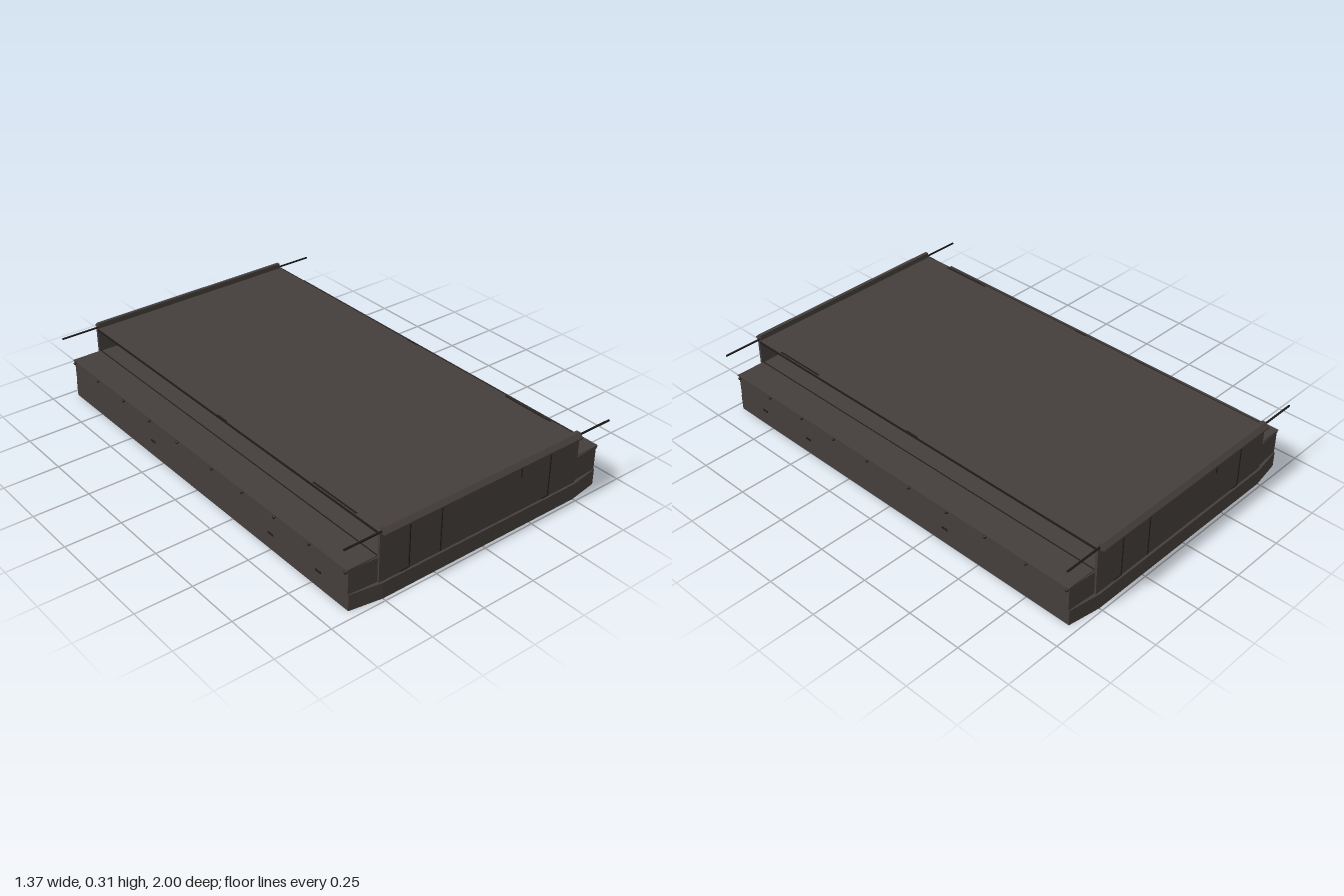
import * as THREE from 'three';

export function createModel() {
  const root = new THREE.Group();
  const body = new THREE.MeshStandardMaterial({ color: 0x443d3b });
  body.name = 'dark brown paint';
  const dark = new THREE.MeshStandardMaterial({ color: 0x1e1b1a });
  dark.name = 'black trim';

  const add = (name, geo, mat, x = 0, y = 0, z = 0) => {
    const m = new THREE.Mesh(geo, mat);
    m.name = name;
    m.position.set(x, y, z);
    root.add(m);
    return m;
  };
  const box = (name, w, h, d, x, y, z, mat = body) =>
    add(name, new THREE.BoxGeometry(w, h, d), mat, x, y, z);

  // Octagonal plan, extruded upward
  const slab = (name, hx, cx, hz, cz, y0, y1) => {
    const s = new THREE.Shape([
      [hx, cz], [cx, hz], [-cx, hz], [-hx, cz],
      [-hx, -cz], [-cx, -hz], [cx, -hz], [hx, -cz],
    ].map(([x, z]) => new THREE.Vector2(x, z)));
    const g = new THREE.ExtrudeGeometry(s, { depth: y1 - y0, bevelEnabled: false });
    g.rotateX(-Math.PI / 2);
    add(name, g, body, 0, y0, 0);
  };

  // Lower hull with its bowed ends, upper hull and side ledges
  slab('lowerHull', 0.643, 0.5, 0.985, 0.962, 0, 0.072);
  slab('upperHull', 0.643, 0.51, 0.967, 0.958, 0.072, 0.18);
  for (const s of [-1, 1]) {
    box('ledgePlate', 0.14, 0.005, 1.92, s * 0.58, 0.182, 0);
    box('ledgeSeam', 0.004, 0.003, 1.92, s * 0.51, 0.185, 0, dark);
  }

  // Thin raised deck, open along both sides
  box('deckPlate', 1.02, 0.007, 1.94, 0, 0.287, 0);
  for (const s of [-1, 1]) {
    box('deckEdge', 0.004, 0.008, 1.93, s * 0.511, 0.287, 0, dark);
    box('deckSlot', 0.007, 0.003, 0.25, s * 0.5, 0.291, 0.705, dark);
    box('deckNotch', 0.006, 0.003, 0.06, s * 0.508, 0.291, 0, dark);
  }

  // Sloped header profile in z, y
  const header = new THREE.Shape([
    [0.966, 0.284], [0.984, 0.284], [1, 0.292], [1, 0.298], [0.982, 0.315], [0.966, 0.315],
  ].map(([z, y]) => new THREE.Vector2(z, y)));
  const headerGeo = new THREE.ExtrudeGeometry(header, { depth: 1.006, bevelEnabled: false });
  headerGeo.rotateY(-Math.PI / 2);
  headerGeo.translate(0.503, 0, 0);

  // End walls, headers, long rods and panel seams
  for (const s of [1, -1]) {
    box('endWall', 1.026, 0.22, 0.012, 0, 0.18, s * 0.969);
    add('endHeader', headerGeo, body).rotation.y = s > 0 ? 0 : Math.PI;
    const rod = new THREE.CylinderGeometry(0.0045, 0.0045, 1.36, 8);
    rod.rotateZ(Math.PI / 2);
    add('endRod', rod, dark, s * 0.004, 0.295, s * 0.973);
    for (const [x, y0, y1] of [[-0.37, 0.075, 0.285], [-0.215, 0.075, 0.285], [0.195, 0.23, 0.285], [0.355, 0.075, 0.285]])
      box('panelSeam', 0.004, y1 - y0, 0.004, s * x, (y0 + y1) / 2, s * 0.976, dark);
    for (const x of [-0.39, 0.34])
      box('panelFoot', 0.04, 0.004, 0.004, s * x, 0.076, s * 0.976, dark);
  }

  // Small knobs and drain slots along the sides
  const knob = new THREE.SphereGeometry(0.007, 8, 6);
  for (const s of [-1, 1]) {
    for (const z of [-0.95, -0.75, -0.54, -0.335, -0.125, 0.12, 0.325, 0.53, 0.74, 0.95])
      add('sideKnob', knob, dark, s * 0.648, 0.17, z);
    for (const z of [0.79, 0.5, -0.32])
      box('drainSlot', 0.004, 0.008, 0.03, s * 0.644, 0.075, z, dark);
  }
  return root;
}
